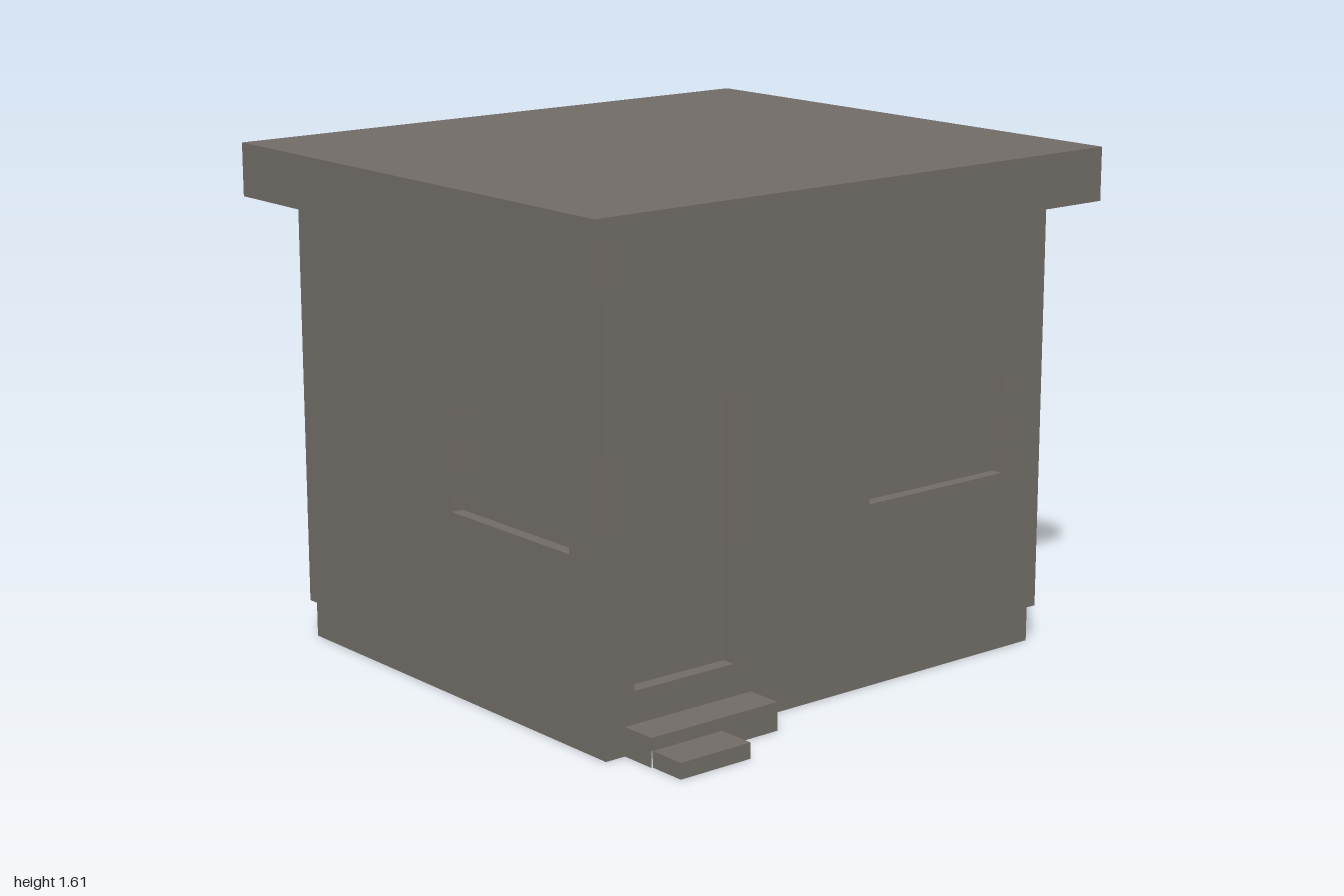
import * as THREE from 'three';

const material = new THREE.MeshStandardMaterial({ color: 0x716b67, side: THREE.DoubleSide });
material.name = 'warm grey';

const mesh = (name, geometry) => {
  const m = new THREE.Mesh(geometry, material);
  m.name = name;
  return m;
};

// Box given by its limits, with the listed faces left off
const FACES = ['right', 'left', 'top', 'bottom', 'front', 'back'];
function openBox(name, [x0, x1], [y0, y1], [z0, z1], missing = []) {
  const g = new THREE.BoxGeometry(x1 - x0, y1 - y0, z1 - z0);
  const all = Array.from(g.index.array);
  g.setIndex(FACES.flatMap((f, i) => (missing.includes(f) ? [] : all.slice(i * 6, i * 6 + 6))));
  g.clearGroups();
  g.translate((x0 + x1) / 2, (y0 + y1) / 2, (z0 + z1) / 2);
  return mesh(name, g);
}

// Flat rectangle [u0, u1, v0, v1] with rectangular holes
function plate([u0, u1, v0, v1], holes = []) {
  const trace = (p, [a, b, c, d]) => p.moveTo(a, c).lineTo(b, c).lineTo(b, d).lineTo(a, d).closePath();
  const shape = trace(new THREE.Shape(), [u0, u1, v0, v1]);
  shape.holes = holes.map((h) => trace(new THREE.Path(), h));
  return new THREE.ShapeGeometry(shape);
}

// Wall with recessed openings, turned to its side and moved out
function wall(name, size, angle, distance, openings = []) {
  const group = new THREE.Group();
  group.name = name;
  group.add(mesh(name + 'Panel', plate(size, openings.map((o) => o.rect))));
  for (const { part, rect: [a, b, c, d], depth } of openings) {
    group.add(openBox(part, [a, b], [c, d], [-depth, 0], ['front']));
  }
  group.rotation.y = angle;
  group.position.set(Math.sin(angle) * distance, 0, Math.cos(angle) * distance);
  return group;
}

// Horizontal ring between two outlines [x0, x1, z0, z1]
function ledge(name, outer, inner, y) {
  const flip = ([a, b, c, d]) => [a, b, -d, -c];
  const g = plate(flip(outer), [flip(inner)]);
  g.rotateX(-Math.PI / 2).translate(0, y, 0);
  return mesh(name, g);
}

export function createModel() {
  const model = new THREE.Group();
  model.name = 'smallHouse';

  const base = [-0.865, 0.865, -0.805, 0.70];
  const body = [-0.88, 0.88, -0.82, 0.72];
  const roof = [-1, 1, -0.945, 0.835];
  const low = 0.12, high = 1.44, top = 1.61;

  // Hollow base, open underneath
  model.add(openBox('base', [base[0], base[1]], [0, low], [base[2], base[3]], ['top', 'bottom']));
  model.add(ledge('baseLedge', body, base, low));

  // Walls with recessed door and windows
  const sill = 0.59, head = 0.905;
  model.add(wall('frontWall', [-0.88, 0.88, low, high], 0, 0.72, [
    { part: 'door', rect: [-0.775, -0.4, 0.2, 1.01], depth: 0.045 },
    { part: 'frontWindow', rect: [0.14, 0.71, sill, head], depth: 0.04 },
  ]));
  model.add(wall('backWall', [-0.88, 0.88, low, high], Math.PI, 0.82));
  model.add(wall('leftWall', [-0.72, 0.82, low, high], Math.PI / 2, 0.88, [
    { part: 'leftWindow', rect: [-0.555, 0.02, sill, head], depth: 0.04 },
  ]));
  model.add(wall('rightWall', [-0.82, 0.72, low, high], -Math.PI / 2, 0.88, [
    { part: 'rightWindow', rect: [-0.02, 0.555, sill, head], depth: 0.04 },
  ]));

  // Flat overhanging roof
  model.add(openBox('roof', [roof[0], roof[1]], [high, top], [roof[2], roof[3]], ['bottom']));
  model.add(ledge('eaves', roof, body, high));

  // Entrance steps, open underneath
  const lower = [-0.79, -0.53, 0, 0.05];
  model.add(openBox('upperStep', [-0.795, -0.315], [0, 0.09], [0.70, 0.82], ['bottom', 'back', 'front']));
  const riser = mesh('upperStepRiser', plate([-0.53, -0.315, 0, 0.09]));
  const riserTop = mesh('upperStepRiserTop', plate([-0.795, -0.53, 0.05, 0.09]));
  riser.position.z = riserTop.position.z = 0.82;
  model.add(riser, riserTop);
  model.add(openBox('lowerStep', [lower[0], lower[1]], [lower[2], lower[3]], [0.82, 0.945], ['bottom', 'back']));

  return model;
}
